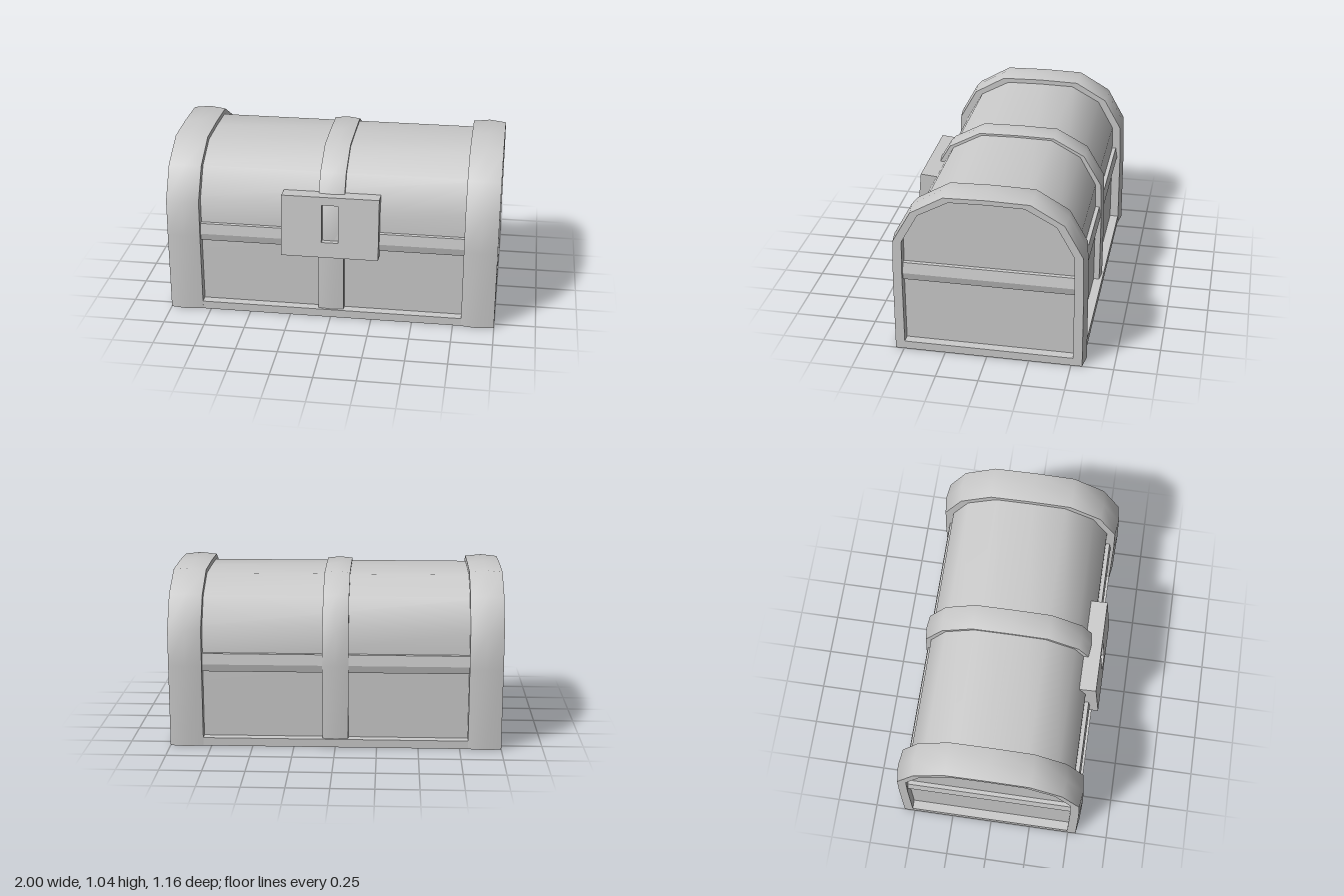
import * as THREE from 'three';
import { toCreasedNormals } from 'three/addons/utils/BufferGeometryUtils.js';

const CREASE = 0.6;
const grey = new THREE.MeshStandardMaterial({ color: 0xcccccc });

// Half profiles as [z, y], from the foot up to the crown
const PANEL = [[0.5025, 0.05], [0.5025, 0.5], [0.4975, 0.72], [0.3975, 0.9], [0.2175, 0.998], [0, 1.002]];
const BAND_EDGE = [[0.558, 0], [0.556, 0.5], [0.549, 0.72], [0.441, 0.913], [0.248, 1.025], [0, 1.031]];
const BAND_RIDGE = [[0.572, 0], [0.57, 0.5], [0.5625, 0.72], [0.4525, 0.92], [0.255, 1.035], [0, 1.042]];
const STRAP_EDGE = [[0.538, 0.03], [0.538, 0.5], [0.53, 0.72], [0.421, 0.907], [0.23, 1.01], [0, 1.014]];
const STRAP_RIDGE = [[0.547, 0.03], [0.547, 0.5], [0.539, 0.72], [0.428, 0.913], [0.234, 1.018], [0, 1.024]];

const mirrored = (half) => [...half, ...half.slice(0, -1).reverse().map(([z, y]) => [-z, y])];

// Joins arched sections [x, halfProfile] into a skin, closed at the ends if capped
function loft(sections, capped) {
  const rings = sections.map(([x, half]) => mirrored(half).map(([z, y]) => [x, y, z]));
  const n = rings[0].length;
  const pos = [];
  const tri = (...corners) => corners.forEach((p) => pos.push(...p));
  for (let i = 0; i < rings.length - 1; i++) {
    for (let j = 0; j < n; j++) {
      const k = (j + 1) % n;
      const a = rings[i][j], b = rings[i + 1][j], c = rings[i + 1][k], d = rings[i][k];
      tri(a, b, c);
      tri(a, c, d);
    }
  }
  if (capped) {
    const first = rings[0], last = rings[rings.length - 1];
    for (let j = 1; j < n - 1; j++) {
      tri(first[0], first[j], first[j + 1]);
      tri(last[0], last[j + 1], last[j]);
    }
  }
  const geo = new THREE.BufferGeometry();
  geo.setAttribute('position', new THREE.Float32BufferAttribute(pos, 3));
  return toCreasedNormals(geo, CREASE);
}

function add(parent, name, geo) {
  const mesh = new THREE.Mesh(geo, grey);
  mesh.name = name;
  parent.add(mesh);
  return mesh;
}

// Rail around the whole chest, swelling to a ridge along its middle
function railGeometry() {
  const geo = new THREE.BoxGeometry(1.94, 0.11, 1.05, 1, 2, 1);
  const p = geo.attributes.position;
  for (let i = 0; i < p.count; i++) {
    if (Math.abs(p.getY(i)) < 0.01) {
      p.setXYZ(i, p.getX(i) * 1.012, -0.01, p.getZ(i) * 1.02);
    }
  }
  return toCreasedNormals(geo, 0.1);
}

// Tilted lock plate with a sunken keyhole; its front face lies at z = 0
function buildLock() {
  const lock = new THREE.Group();
  lock.name = 'lock';
  const rect = (T, x, y0, y1) => {
    const s = new T();
    s.moveTo(-x, y0).lineTo(x, y0).lineTo(x, y1).lineTo(-x, y1).closePath();
    return s;
  };
  const shape = rect(THREE.Shape, 0.293, -0.191, 0.191);
  shape.holes.push(rect(THREE.Path, 0.05, -0.095, 0.14));
  const plate = new THREE.ExtrudeGeometry(shape, { depth: 0.11, bevelEnabled: false });
  add(lock, 'lockPlate', plate.translate(0, 0, -0.11));
  add(lock, 'keyholeFloor', new THREE.BoxGeometry(0.12, 0.26, 0.06).translate(0, 0.022, -0.07));
  lock.position.set(0, 0.615, 0.5675);
  lock.rotation.x = -0.092;
  return lock;
}

export function createModel() {
  const model = new THREE.Group();
  model.name = 'chest';

  const chest = new THREE.Group();
  chest.name = 'chestBody';
  chest.position.z = -0.0075;
  model.add(chest);

  // Arched box and its base
  add(chest, 'panels', loft([[-0.945, PANEL], [0.945, PANEL]], true));
  add(chest, 'plinth', new THREE.BoxGeometry(1.6, 0.05, 1.114).translate(0, 0.025, 0));
  add(chest, 'rail', railGeometry()).position.y = 0.515;

  // Frames at both ends, each with a recessed opening
  const band = loft([
    [0.8, PANEL], [0.8, BAND_EDGE], [0.9, BAND_RIDGE], [1, BAND_EDGE], [1, PANEL], [0.945, PANEL],
  ], false);
  add(chest, 'leftBand', band);
  add(chest, 'rightBand', band).rotation.y = Math.PI;

  // Strap over the middle
  add(chest, 'middleStrap', loft([[-0.078, STRAP_EDGE], [0, STRAP_RIDGE], [0.078, STRAP_EDGE]], true));

  model.add(buildLock());
  return model;
}
